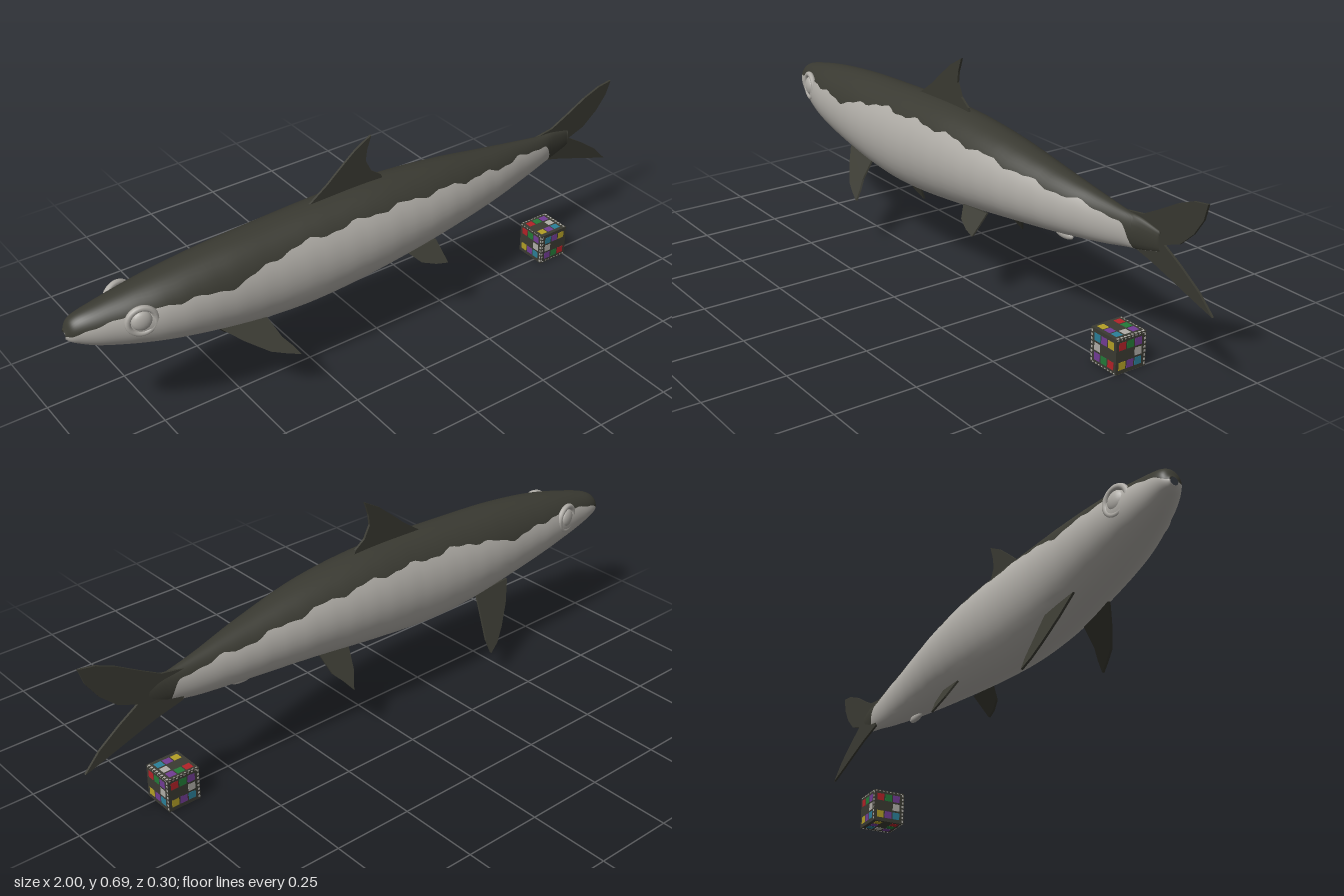
import * as THREE from 'three';

const mat = (name, hex) => {
  const m = new THREE.MeshStandardMaterial({ color: hex });
  m.name = name;
  return m;
};

export function createModel() {
  const dark = mat('dark olive', 0x3a3a32);
  const light = mat('silver grey', 0xb0ada7);
  const red = mat('red', 0xb32228);
  const green = mat('green', 0x237a38);
  const purple = mat('purple', 0x713c94);
  const yellow = mat('yellow', 0xb39f26);
  const teal = mat('teal', 0x2b7f98);

  const model = new THREE.Group();
  const add = (name, geo, material, parent = model) => {
    const mesh = new THREE.Mesh(geo, material);
    mesh.name = name;
    parent.add(mesh);
    return mesh;
  };

  // Body stations: x, top, bottom, centre z, half width, height of the colour line
  const stations = [
    [-1.0, 0.405, 0.382, -0.04, 0.012, 0.395],
    [-0.975, 0.443, 0.365, -0.035, 0.036, 0.4],
    [-0.9, 0.468, 0.335, -0.024, 0.06, 0.435],
    [-0.74, 0.5, 0.295, -0.011, 0.094, 0.448],
    [-0.55, 0.522, 0.258, -0.007, 0.11, 0.44],
    [-0.37, 0.532, 0.233, -0.007, 0.117, 0.478],
    [-0.2, 0.539, 0.23, -0.007, 0.119, 0.486],
    [0.0, 0.54, 0.248, -0.008, 0.117, 0.488],
    [0.22, 0.52, 0.275, -0.012, 0.102, 0.472],
    [0.44, 0.482, 0.298, -0.025, 0.071, 0.442],
    [0.6, 0.452, 0.318, -0.04, 0.042, 0.424],
    [0.69, 0.437, 0.335, -0.047, 0.026, 0.405],
    [0.74, 0.432, 0.342, -0.052, 0.016, 0.3],
    [0.81, 0.415, 0.36, -0.056, 0.006, 0.3],
  ];
  const curve = (k) => new THREE.CatmullRomCurve3(
    stations.map((s) => new THREE.Vector3(s[k], s[k + 1], s[k + 2])), false, 'catmullrom', 0.5);
  const heights = curve(0), widths = curve(3);

  // Loft: each ring starts at the colour line, runs over the back, then round the belly
  const rings = 130, backSegs = 16, bellySegs = 26, n = backSegs + bellySegs;
  const pos = [], backIdx = [], bellyIdx = [];
  for (let i = 0; i <= rings; i++) {
    const { x, y: top, z: bottom } = heights.getPoint(i / rings);
    const { x: cz, y: rz, z: line } = widths.getPoint(i / rings);
    const cy = (top + bottom) / 2, ry = (top - bottom) / 2;
    const wavy = line + 0.005 * Math.sin(37 * x) + 0.003 * Math.sin(83 * x);
    const a0 = Math.asin(THREE.MathUtils.clamp((wavy - cy) / ry, -0.97, 0.93));
    for (let j = 0; j < n; j++) {
      const a = j < backSegs
        ? a0 + (Math.PI - 2 * a0) * j / backSegs
        : Math.PI - a0 + (Math.PI + 2 * a0) * (j - backSegs) / bellySegs;
      pos.push(x, cy + ry * Math.sin(a), cz + rz * Math.cos(a));
      if (i < rings) {
        const p = i * n + j, q = i * n + (j + 1) % n;
        (j < backSegs ? backIdx : bellyIdx).push(p, p + n, q, q, p + n, q + n);
      }
    }
  }
  // Snout and tail caps
  for (let j = 1; j < n - 1; j++) {
    const e = rings * n;
    backIdx.push(0, j, j + 1, e, e + j + 1, e + j);
  }
  for (let k = backIdx.length - (n - 2) * 6; k < backIdx.length; k += 6) {
    [backIdx[k + 1], backIdx[k + 2]] = [backIdx[k + 2], backIdx[k + 1]];
    [backIdx[k + 4], backIdx[k + 5]] = [backIdx[k + 5], backIdx[k + 4]];
  }
  const body = new THREE.BufferGeometry();
  body.setAttribute('position', new THREE.Float32BufferAttribute(pos, 3));
  body.setIndex([...backIdx, ...bellyIdx]);
  body.addGroup(0, backIdx.length, 0);
  body.addGroup(backIdx.length, bellyIdx.length, 1);
  body.computeVertexNormals();
  add('body', body, [dark, light]);

  // Eyes: shallow domes with a raised rim
  for (const [side, z] of [['left', 0.058], ['right', -0.087]]) {
    const s = Math.sign(z);
    const eye = new THREE.Group();
    eye.name = side === 'left' ? 'frontSideEye' : 'rearSideEye';
    eye.position.set(-0.815, 0.42, z);
    eye.rotation.y = -s * 0.2;
    model.add(eye);
    add('eyeball', new THREE.SphereGeometry(0.03, 20, 12), light, eye).scale.z = 0.5;
    add('eyeRim', new THREE.TorusGeometry(0.04, 0.009, 8, 28), light, eye);
  }

  // Thin fins drawn in the xy plane, leaning in z with height
  const fin = (name, pts, z0, y0, lean) => {
    const shape = new THREE.Shape(pts.map(([x, y]) => new THREE.Vector2(x, y)));
    const geo = new THREE.ExtrudeGeometry(shape, { depth: 0.007, bevelEnabled: false });
    const p = geo.attributes.position;
    for (let i = 0; i < p.count; i++) {
      p.setZ(i, p.getZ(i) - 0.0035 + z0 + (p.getY(i) - y0) * lean);
    }
    geo.computeVertexNormals();
    return add(name, geo, dark);
  };
  fin('dorsalFin', [[-0.26, 0.52], [-0.22, 0.545], [-0.17, 0.58], [-0.12, 0.622], [-0.07, 0.662],
    [-0.015, 0.693], [-0.03, 0.65], [-0.035, 0.615], [-0.015, 0.575], [0.02, 0.55], [0.03, 0.52]],
    -0.008, 0.54, 0);
  fin('tailFin', [[0.66, 0.43], [0.74, 0.443], [0.8, 0.475], [0.87, 0.515], [0.93, 0.54], [0.98, 0.548],
    [0.965, 0.5], [0.93, 0.45], [0.88, 0.405], [0.82, 0.382], [0.88, 0.345], [0.95, 0.295], [1.0, 0.243],
    [0.93, 0.265], [0.85, 0.292], [0.77, 0.318], [0.68, 0.34]], -0.06, 0.4, 0.06);
  fin('frontSidePectoralFin', [[-0.57, 0.275], [-0.52, 0.235], [-0.46, 0.195], [-0.42, 0.18], [-0.375, 0.165],
    [-0.39, 0.19], [-0.41, 0.215], [-0.43, 0.27]], 0.06, 0.26, -0.93);
  fin('rearSidePectoralFin', [[-0.57, 0.275], [-0.54, 0.21], [-0.5, 0.15], [-0.465, 0.11], [-0.43, 0.088],
    [-0.422, 0.13], [-0.425, 0.18], [-0.43, 0.27]], -0.072, 0.26, 0.43);
  fin('frontSidePelvicFin', [[0.08, 0.28], [0.11, 0.25], [0.155, 0.235], [0.195, 0.228], [0.19, 0.285]],
    0.055, 0.275, -0.98);
  fin('rearSidePelvicFin', [[0.09, 0.29], [0.105, 0.22], [0.13, 0.174], [0.155, 0.205], [0.18, 0.23],
    [0.2, 0.29]], -0.06, 0.28, 0.66);

  // Small anal fin ridge
  const anal = add('analFin', new THREE.SphereGeometry(0.5, 14, 10), light);
  anal.scale.set(0.08, 0.028, 0.02);
  anal.position.set(0.455, 0.297, -0.025);

  // Colour calibration cube, the same swatch layout on all six faces
  const size = 0.105;
  const cube = new THREE.Group();
  cube.name = 'colourCube';
  cube.position.set(0.702, size / 2 + 0.001, -0.021);
  model.add(cube);
  add('cubeCore', new THREE.BoxGeometry(size, size, size), dark, cube);
  const plate = new THREE.BoxGeometry(1, 1, 0.001);
  const faces = [[0, 0, Math.PI], [0, Math.PI / 2, 0], [0, Math.PI, 0], [0, -Math.PI / 2, 0],
    [-Math.PI / 2, 0, 0], [Math.PI / 2, 0, 0]];
  const rows = [[red, green, purple], [null, null, light], [yellow, purple, teal]];
  for (const [rx, ry, rz] of faces) {
    const face = new THREE.Group();
    face.name = 'cubeFace';
    face.rotation.set(rx, ry, rz);
    cube.add(face);
    const put = (name, material, x, y, w, h) => {
      const m = add(name, plate, material, face);
      m.position.set(x, y, size / 2);
      m.scale.set(w, h, 1);
    };
    rows.forEach((row, r) => row.forEach((material, c) => {
      if (material) put('swatch', material, -0.031 + 0.028 * c, 0.029 - 0.029 * r, 0.024, 0.023);
    }));
    // Edge scale marks
    for (let k = 0; k < 8; k++) {
      put('scaleMark', light, 0.048, -0.044 + 0.0125 * k, 0.006, 0.007);
      put('scaleMark', light, -0.046 + 0.0125 * k, 0.049, 0.006, 0.003);
    }
  }
  return model;
}
